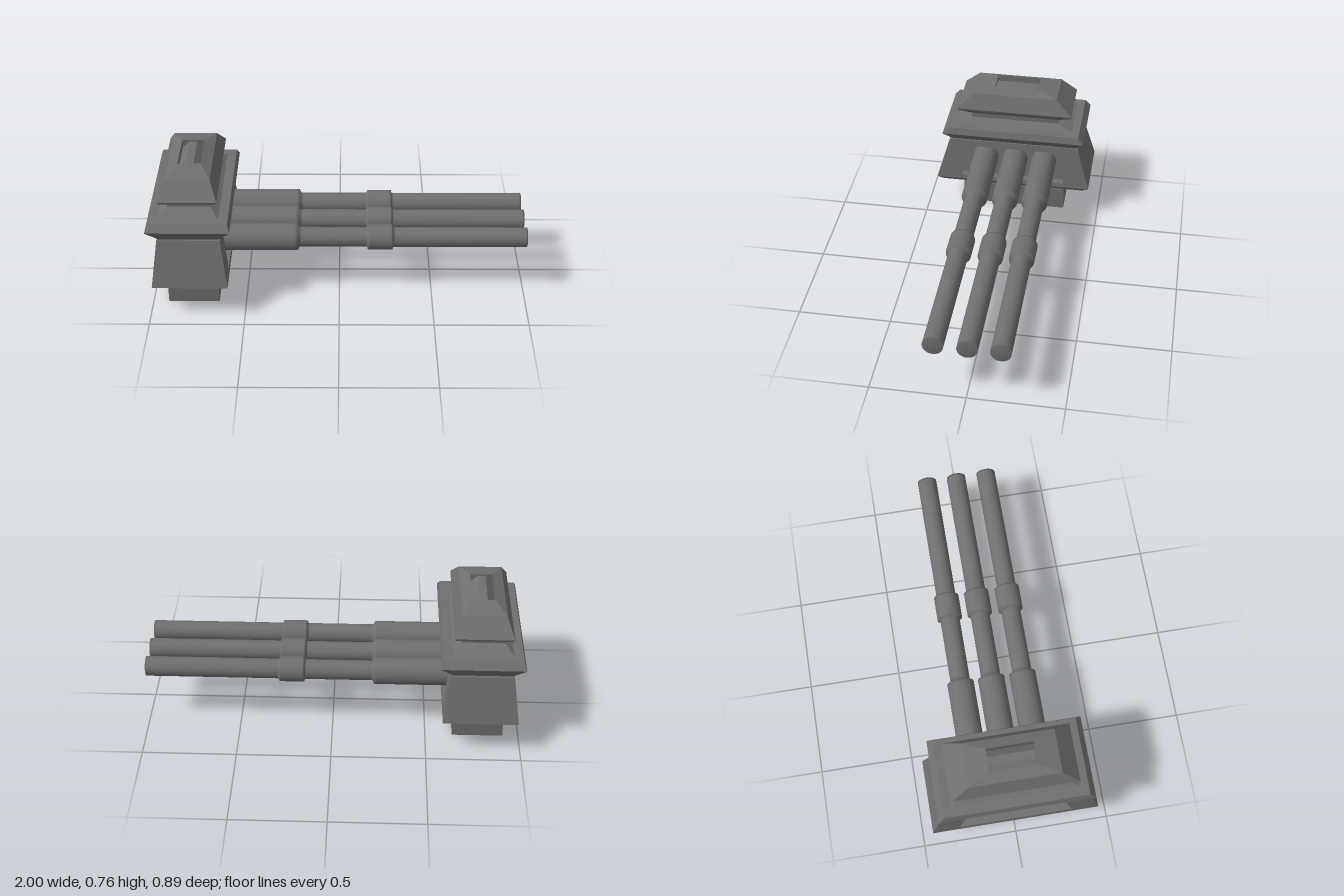
import * as THREE from 'three';

const CX = -0.781; // centre of the turret in x

// Rectangular loop at height y, counter-clockwise from above
const rect = ([y, hx, hz]) => [[hx, y, hz], [hx, y, -hz], [-hx, y, -hz], [-hx, y, hz]];

// Skins a row of four-point loops; start / end close the ends, keep picks sides
function loft(loops, { start = false, end = false, keep = () => true } = {}) {
  const pos = [];
  const quad = (a, b, c, d) => pos.push(...a, ...b, ...c, ...a, ...c, ...d);
  for (let k = 0; k + 1 < loops.length; k++) {
    const a = loops[k], b = loops[k + 1];
    for (let i = 0; i < 4; i++) {
      const j = (i + 1) % 4;
      if (keep(k, i)) quad(a[i], a[j], b[j], b[i]);
    }
  }
  if (start) quad(...[...loops[0]].reverse());
  if (end) quad(...loops[loops.length - 1]);
  const g = new THREE.BufferGeometry();
  g.setAttribute('position', new THREE.Float32BufferAttribute(pos, 3));
  g.computeVertexNormals();
  return g;
}

export function createModel() {
  const model = new THREE.Group();
  model.name = 'gunTurret';
  const flat = new THREE.MeshStandardMaterial({ color: 0x6f6f6f, flatShading: true });
  const smooth = new THREE.MeshStandardMaterial({ color: 0x6f6f6f });

  const turret = new THREE.Group();
  turret.name = 'turret';
  turret.position.x = CX;
  model.add(turret);
  const add = (name, geometry) => {
    const mesh = new THREE.Mesh(geometry, flat);
    mesh.name = name;
    turret.add(mesh);
    return mesh;
  };

  // Pedestal with a chamfered top
  add('pedestal', loft([[0, 0.136, 0.297], [0.128, 0.136, 0.297], [0.178, 0.12, 0.264]].map(rect),
    { start: true, end: true }));

  // Tapered housing, open on both long sides for the window panels
  const low = [0.195, 0.198, 0.444], high = [0.447, 0.164, 0.372];
  add('housing', loft([[0.175, 0.185, 0.408], low, high].map(rect),
    { start: true, end: true, keep: (k, i) => k === 0 || i % 2 === 1 }));

  // Sloping side panels with a recessed trapezoid window
  const faceX = y => THREE.MathUtils.mapLinear(y, low[0], high[0], low[1], high[1]);
  const panelLoop = (y0, z0, y1, z1, depth) => {
    const a = faceX(y0) - depth, b = faceX(y1) - depth;
    return [[a, y0, z0], [a, y0, -z0], [b, y1, -z1], [b, y1, z1]];
  };
  const panel = loft([
    panelLoop(low[0], low[2], high[0], high[2], 0),
    panelLoop(0.22, 0.298, 0.41, 0.247, 0),
    panelLoop(0.22, 0.298, 0.41, 0.247, 0.04),
  ], { end: true });
  add('windowPanelLeft', panel);
  add('windowPanelRight', panel).rotation.y = Math.PI;

  // Flared collar, ledge and neck
  add('collar', loft([
    [0.445, 0.154, 0.358], [0.513, 0.218, 0.405], [0.55, 0.206, 0.375],
    [0.55, 0.157, 0.332], [0.578, 0.113, 0.25], [0.606, 0.113, 0.25],
  ].map(rect), { start: true }));

  // Bevelled cap with a slot sunk into its top
  add('cap', loft([
    [0.604, 0.113, 0.25], [0.638, 0.149, 0.322], [0.65, 0.153, 0.326],
    [0.735, 0.115, 0.238], [0.76, 0.06, 0.122], [0.715, 0.06, 0.122],
  ].map(rect), { start: true, end: true }));

  // Ridge lying in the slot
  add('slotRidge', loft([[0.715, 0.06, 0.12], [0.75, 0.02, 0.12]].map(rect), { end: true }));

  // Barrel profile (radius, x): breech, tube, sleeve and softly shaded muzzle;
  // doubled rings beside each step keep the long runs evenly shaded
  const profile = [
    [0.072, -0.76], [0.072, -0.235], [0.072, -0.222], [0.053, -0.212], [0.053, -0.2],
    [0.053, 0.14], [0.053, 0.148], [0.068, 0.152], [0.068, 0.16],
    [0.068, 0.275], [0.068, 0.283], [0.053, 0.287], [0.053, 0.295],
    [0.053, 0.99], [0.053, 1], [0, 1],
  ].map(p => new THREE.Vector2(...p));
  const barrelGeometry = new THREE.LatheGeometry(profile, 28).rotateZ(-Math.PI / 2);
  [0.163, -0.008, -0.175].forEach((z, n) => {
    const barrel = new THREE.Mesh(barrelGeometry, smooth);
    barrel.name = `barrel${n + 1}`;
    barrel.position.set(0, 0.331, z);
    model.add(barrel);
  });

  return model;
}
